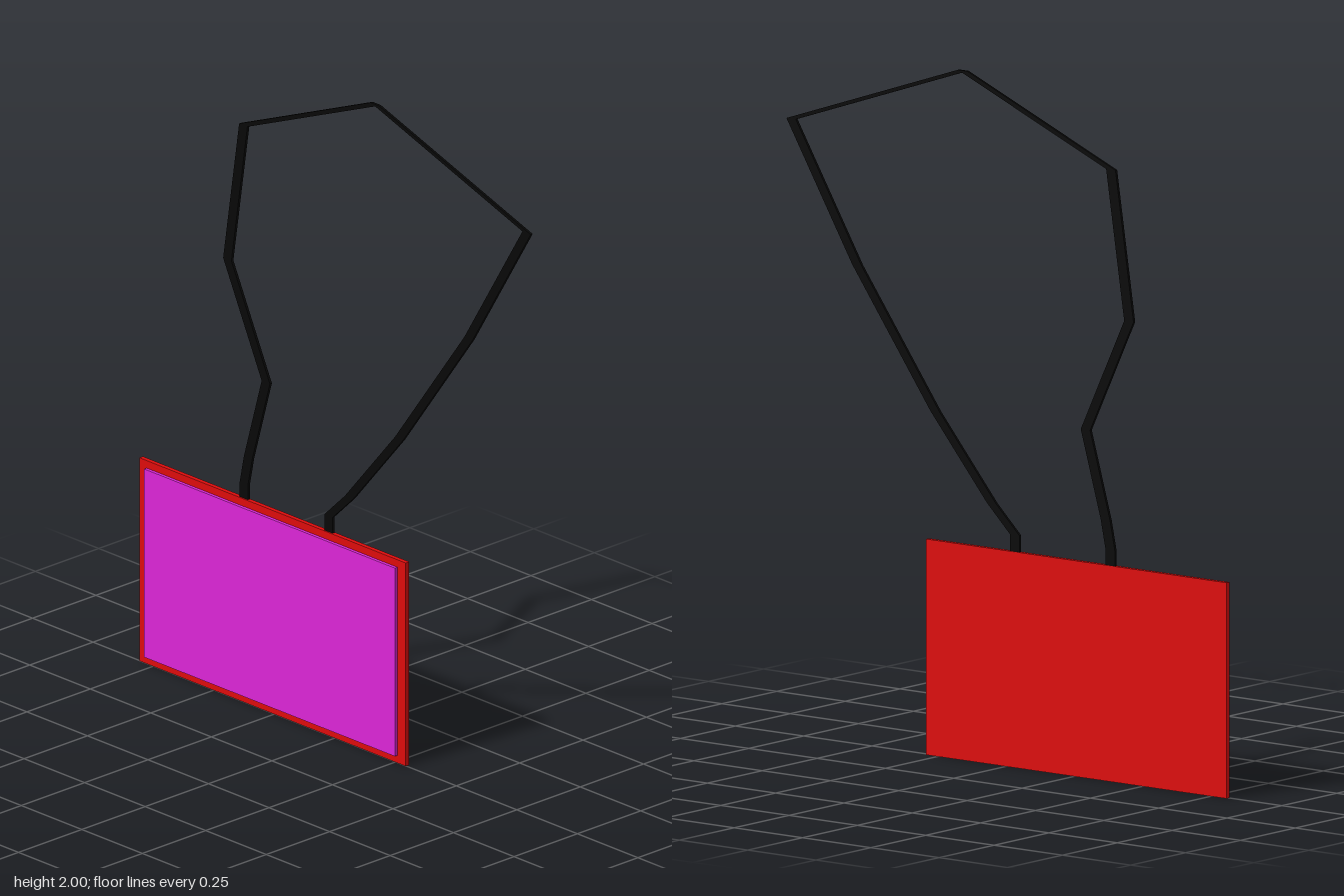
import * as THREE from 'three';

export function createModel() {
  const group = new THREE.Group();

  const addPart = (name, geometry, color) => {
    const material = new THREE.MeshStandardMaterial({ color, flatShading: true });
    const mesh = new THREE.Mesh(geometry, material);
    mesh.name = name;
    group.add(mesh);
    return mesh;
  };

  // Flat sign: backing board with a raised front panel
  const board = addPart('backingBoard', new THREE.BoxGeometry(1.1, 0.626, 0.014), 0xdd0c0c);
  board.position.set(-0.257, 0.313, -0.005);
  const panel = addPart('frontPanel', new THREE.BoxGeometry(1.035, 0.58, 0.012), 0xdc26d8);
  panel.position.set(-0.259, 0.313, 0.006);

  // Hanging cord: a strip of constant horizontal width following a rising path
  const halfWidth = 0.017;
  const cordGeometry = (path) => {
    const leftEdge = path.map(([x, y]) => new THREE.Vector2(x - halfWidth, y));
    const rightEdge = path.map(([x, y]) => new THREE.Vector2(x + halfWidth, y));
    const shape = new THREE.Shape([...rightEdge, ...leftEdge.reverse()]);
    const geometry = new THREE.ExtrudeGeometry(shape, { depth: 0.008, bevelEnabled: false });
    return geometry.translate(0, 0, -0.01);
  };

  const apex = [0.161, 2];
  const cordPaths = {
    rightCord: [[-0.38, 0.6], [-0.38, 0.67], [-0.362, 0.757], [-0.289, 1.01],
      [-0.448, 1.342], [-0.382, 1.775], apex],
    leftCord: [[-0.03, 0.6], [-0.03, 0.675], [0.055, 0.757], [0.262, 1.0],
      [0.548, 1.392], [0.788, 1.788], apex],
  };
  for (const [name, path] of Object.entries(cordPaths)) {
    addPart(name, cordGeometry(path), 0x080808);
  }

  return group;
}
